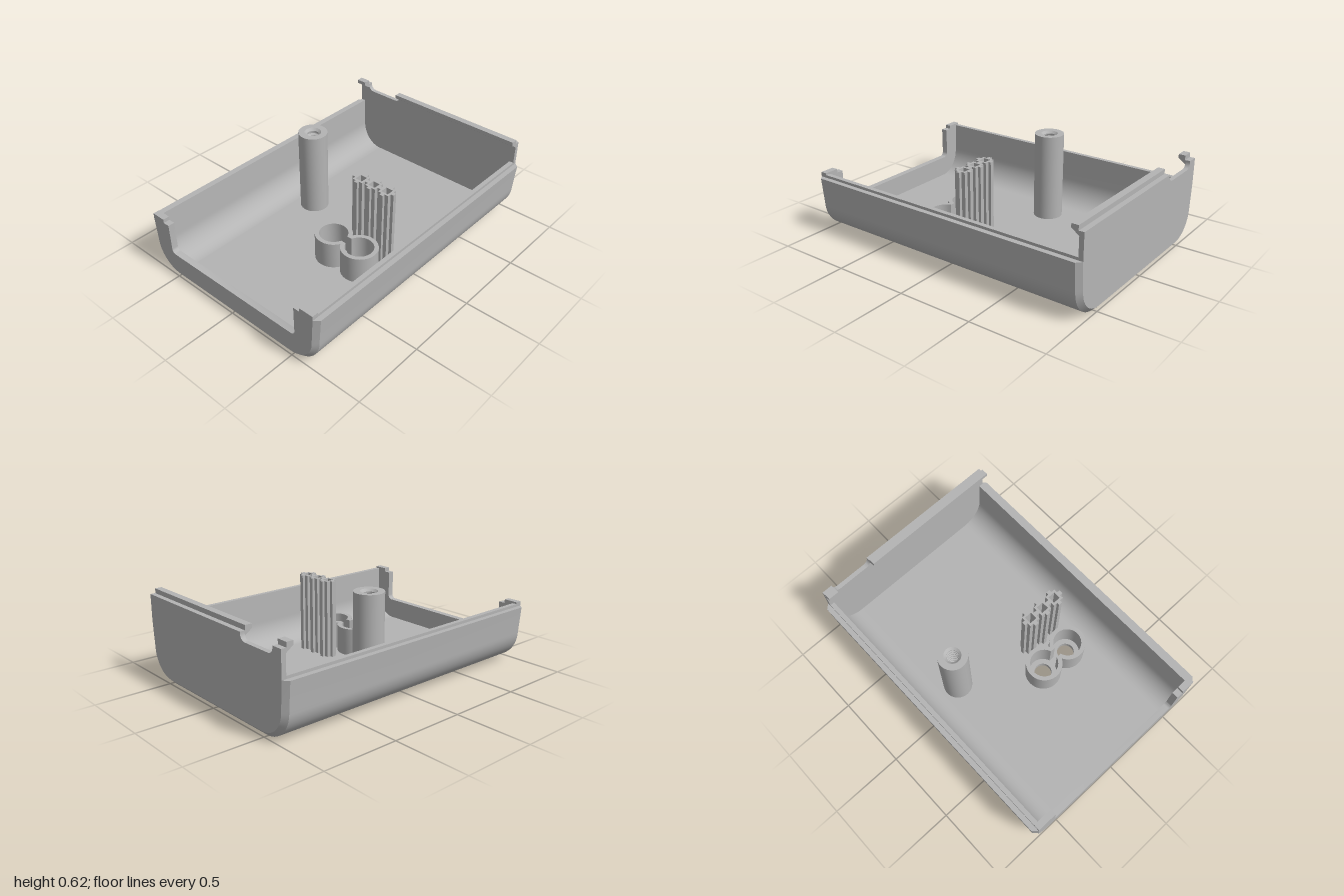
import * as THREE from 'three';
import { toCreasedNormals } from 'three/addons/utils/BufferGeometryUtils.js';

const V = (x, y) => new THREE.Vector2(x, y);
const shell = new THREE.MeshStandardMaterial({ color: 0xb4b4b4 });
shell.name = 'grey plastic';

// points on an elliptical arc, angles in radians
function arc(cx, cy, rx, ry, a0, a1, n = 14) {
  return Array.from({ length: n + 1 }, (_, i) => {
    const a = a0 + (a1 - a0) * i / n;
    return V(cx + rx * Math.cos(a), cy + ry * Math.sin(a));
  });
}
const mirror = (pts) => pts.map((p) => V(-p.x, p.y)).reverse();
const PI = Math.PI;

// slab of a front-facing outline between two z values
function slabZ(pts, z0, z1) {
  const g = new THREE.ExtrudeGeometry(new THREE.Shape(pts), { depth: z1 - z0, bevelEnabled: false });
  return g.translate(0, 0, z0);
}
// slab of a plan outline (x, -z) with holes between two y values
function slabY(pts, holes, y0, y1) {
  const s = new THREE.Shape(pts);
  holes.forEach((h) => s.holes.push(new THREE.Path(h)));
  const g = new THREE.ExtrudeGeometry(s, { depth: y1 - y0, bevelEnabled: false });
  return g.rotateX(-PI / 2).translate(0, y0, 0);
}
const rect = (x0, y0, x1, y1) => [V(x0, y0), V(x1, y0), V(x1, y1), V(x0, y1)];

// chamfered end band joining the full profile to the inset one
function chamferBand(a, b, z0, z1) {
  const pos = [];
  const put = (p, z) => pos.push(p.x, p.y, z);
  for (let i = 0; i < a.length - 1; i++) {
    put(a[i], z0); put(b[i], z1); put(b[i + 1], z1);
    put(a[i], z0); put(b[i + 1], z1); put(a[i + 1], z0);
  }
  const g = new THREE.BufferGeometry();
  g.setAttribute('position', new THREE.Float32BufferAttribute(pos, 3));
  return g;
}

export function createModel() {
  const model = new THREE.Group();
  model.name = 'enclosureHalf';
  const add = (name, geo) => {
    geo.deleteAttribute('uv');
    if (!geo.attributes.normal) geo.computeVertexNormals();
    const mesh = new THREE.Mesh(toCreasedNormals(geo, 0.5), shell);
    mesh.name = name;
    model.add(mesh);
  };

  const floorTop = 0.035, cx = 0.485, cy = 0.205, end = 0.97;
  const ledX = [0.175, 0.277, 0.38], ledZ = 0.03;
  const ringX = [0.122, 0.336], ringZ = 0.23;

  // floor with openings for the buttons and lights
  const holes = [
    ...ringX.map((x) => arc(x, -ringZ, 0.058, 0.058, 0, 2 * PI, 32).slice(0, -1)),
    ...ledX.map((x) => rect(x - 0.024, -ledZ - 0.024, x + 0.024, -ledZ + 0.024)),
  ];
  add('floor', slabY(rect(-cx, -end, cx, end), holes, 0, floorTop));

  // curved side walls with a stepped lip
  for (const s of [1, -1]) {
    const section = [
      ...arc(cx, cy, 0.205, 0.205, -PI / 2, 0),
      V(0.705, 0.38), V(0.672, 0.38), V(0.672, 0.398), V(0.642, 0.398),
      ...arc(cx, cy, 0.15, 0.17, 0, -PI / 2),
    ].map((p) => V(p.x * s, p.y));
    add(s > 0 ? 'leftWall' : 'rightWall', slabZ(section, -end, end));
  }

  // chamfers round both ends
  const fullHalf = [V(0.672, 0.38), V(0.705, 0.38), ...arc(cx, cy, 0.205, 0.205, 0, -PI / 2)];
  const insetHalf = [V(0.672, 0.38), V(0.672, 0.38), ...arc(cx, cy, 0.175, 0.175, 0, -PI / 2)];
  const full = [...fullHalf, ...mirror(fullHalf)];
  const inset = [...insetHalf, ...mirror(insetHalf)];
  add('frontChamfer', chamferBand(full, inset, end, 1));
  add('backChamfer', chamferBand(full, inset, end, 1).rotateY(PI));

  // front wall with its large open window
  const bottom = inset.slice(1, -1);
  const opening = [
    V(0.672, 0.41), V(0.575, 0.41), V(0.575, 0.385), V(0.53, 0.385),
    ...arc(0.5, 0.205, 0.03, 0.03, 0, -PI / 2, 6),
  ];
  add('frontWall', slabZ([...bottom, ...mirror(opening.slice()).reverse().slice(0, 4),
    ...arc(-0.5, 0.205, 0.03, 0.03, PI, 1.5 * PI, 6), ...opening.slice().reverse()], 0.957, 1));

  // tall back wall with a rounded notch
  add('backWall', slabZ([
    ...bottom, V(-0.672, 0.55), V(-0.6, 0.55),
    ...arc(-0.56, 0.54, 0.04, 0.04, PI, 1.5 * PI, 6),
    ...arc(-0.35, 0.54, 0.04, 0.04, -PI / 2, 0, 6),
    V(-0.31, 0.55), V(0.672, 0.55),
  ], -1, -end));

  // snap hooks along the top of the back wall
  const hook = [V(-0.975, 0.517), V(-0.97, 0.52), V(-0.92, 0.555), V(-0.92, 0.58),
    V(-0.965, 0.58), V(-0.965, 0.549), V(-0.975, 0.549)];
  [[-0.672, -0.6], [-0.31, 0.672]].forEach(([x0, x1], i) => {
    const g = slabZ(hook, 0, x1 - x0).rotateY(-PI / 2).translate(x1, 0, 0);
    add(i ? 'longHook' : 'shortHook', g);
  });

  // screw post with a threaded bore
  const post = [V(0.097, 0.03), V(0.097, 0.62), V(0.055, 0.62)];
  for (let y = 0.605; y > 0.32; y -= 0.036) {
    post.push(V(0.038, y), V(0.038, y - 0.008), V(0.053, y - 0.018), V(0.053, y - 0.026));
  }
  post.push(V(0.038, 0.3), V(0, 0.3));
  add('screwPost', new THREE.LatheGeometry(post, 40).translate(-0.36, 0, -0.1));

  // joined pair of button collars with a slot between them
  const mid = (ringX[1] - ringX[0]) / 2;
  const pair = (r, half) => {
    const a = Math.asin(half / r);
    return [...arc(ringX[0], -ringZ, r, r, a, 2 * PI - a, 36),
      ...arc(ringX[1], -ringZ, r, r, PI + a, 3 * PI - a, 36)];
  };
  const outer = pair(0.121, Math.sqrt(0.121 ** 2 - mid ** 2) + 0.0005);
  add('buttonCollars', slabY(outer, [pair(0.093, 0.028)], 0.03, 0.22));

  // square light pipes with ribs on all four sides
  ledX.forEach((x, i) => {
    const w = 0.013, q = 0.039;
    const l = i === 0 ? 0.06 : 0.051, r = i === 2 ? 0.06 : 0.051, t = 0.058;
    const plus = [[r, -w], [r, w], [q, w], [q, q], [w, q], [w, t], [-w, t], [-w, q], [-q, q], [-q, w],
      [-l, w], [-l, -w], [-q, -w], [-q, -q], [-w, -q], [-w, -t], [w, -t], [w, -q], [q, -q], [q, -w]]
      .map(([u, v]) => V(x + u, v - ledZ));
    add('lightPipe' + (i + 1),
      slabY(plus, [rect(x - 0.025, -ledZ - 0.025, x + 0.025, -ledZ + 0.025)], 0.03, 0.56));
  });

  return model;
}
